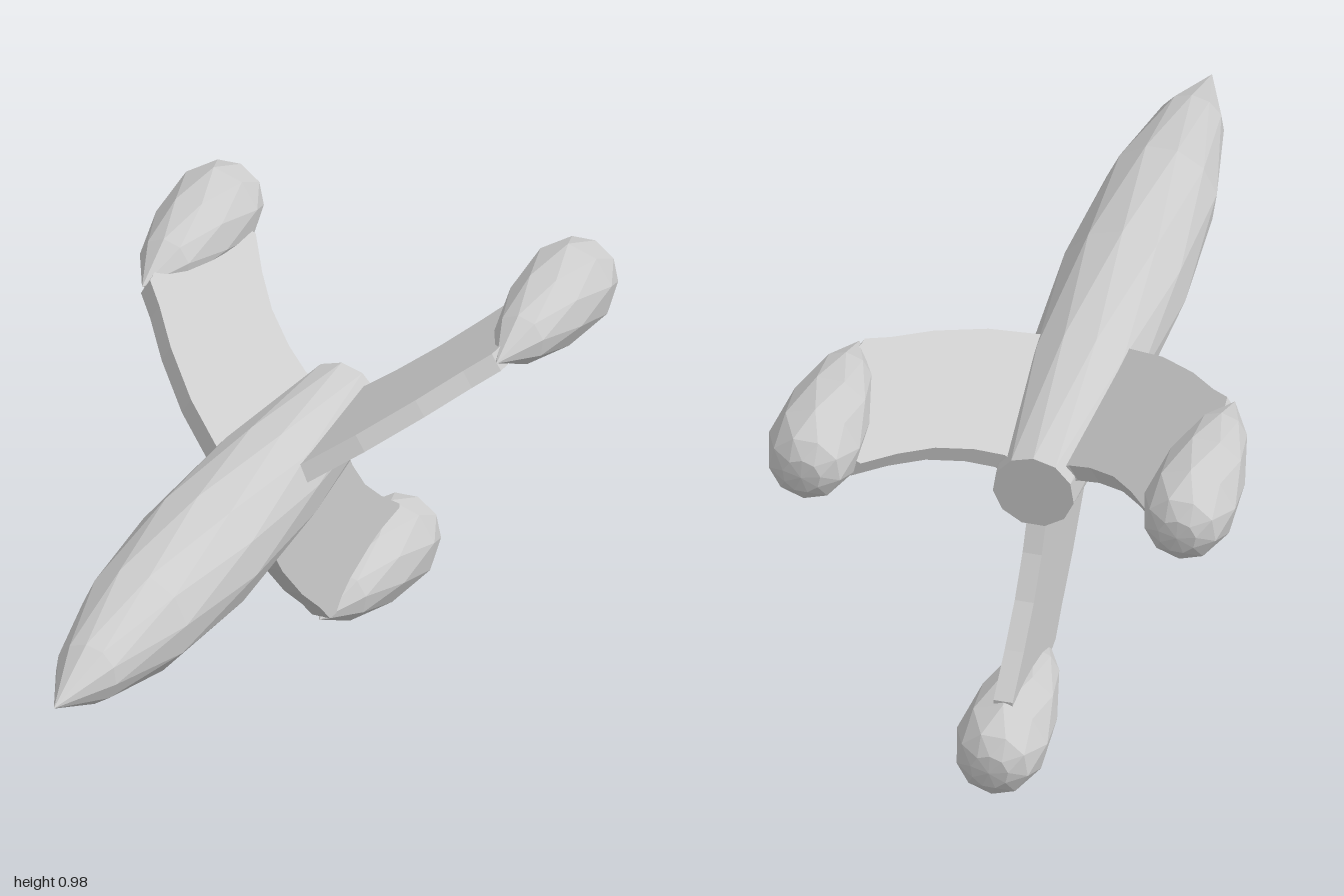
import * as THREE from 'three';

const material = new THREE.MeshStandardMaterial({ color: 0xcccccc, flatShading: true });

// Faceted spindle along z; each ring is turned half a step to give triangular facets.
// profile: [radius, z] from tail to nose
function spindle(name, profile, sides, turn = 0) {
  const geo = new THREE.LatheGeometry(profile.map(([r, z]) => new THREE.Vector2(r, z)), sides);
  const pos = geo.attributes.position;
  const v = new THREE.Vector3();
  const up = new THREE.Vector3(0, 1, 0);
  for (let i = 0; i < pos.count; i++) {
    const ring = i % profile.length;
    v.fromBufferAttribute(pos, i).applyAxisAngle(up, turn + ring * Math.PI / sides);
    pos.setXYZ(i, v.x, v.y, v.z);
  }
  geo.rotateX(Math.PI / 2);
  geo.computeVertexNormals();
  const mesh = new THREE.Mesh(geo, material);
  mesh.name = name;
  return mesh;
}

// Swept fin plate; outline points are [distance from body axis, z]
function fin() {
  const thickness = 0.045;
  const outline = [
    [0.05, -0.13], [0.13, -0.135], [0.25, -0.22], [0.365, -0.33], [0.45, -0.43], [0.505, -0.485],
    [0.52, -0.6], [0.5, -0.87], [0.4, -0.87], [0.33, -0.77], [0.255, -0.68], [0.17, -0.61],
    [0.1, -0.57], [0.05, -0.57],
  ];
  const shape = new THREE.Shape(outline.map(([r, z]) => new THREE.Vector2(r, z)));
  const geo = new THREE.ExtrudeGeometry(shape, { depth: thickness, bevelEnabled: false });
  geo.translate(0, 0, -thickness / 2);
  geo.rotateX(Math.PI / 2);
  const mesh = new THREE.Mesh(geo, material);
  mesh.name = 'fin';
  return mesh;
}

export function createModel() {
  const model = new THREE.Group();
  model.name = 'rocket';
  const axisY = 0.615;

  // Main hull with flat tail and pointed nose
  const hull = spindle('hull', [
    [0, -0.6], [0.096, -0.6], [0.134, -0.18], [0.149, 0.2], [0.131, 0.55], [0.076, 0.82], [0, 1],
  ], 11);
  hull.position.y = axisY;
  model.add(hull);

  // Three fins around the hull, each carrying a pod
  ['leftFin', 'rightFin', 'bottomFin'].forEach((name, i) => {
    const arm = new THREE.Group();
    arm.name = name;
    arm.position.y = axisY;
    arm.rotation.z = Math.PI / 6 + i * Math.PI * 2 / 3;
    const pod = spindle('pod', [
      [0, -1], [0.045, -0.995], [0.085, -0.965], [0.108, -0.88], [0.095, -0.74], [0.062, -0.6], [0, -0.475],
    ], 9, 0.2);
    pod.position.x = 0.51;
    arm.add(fin(), pod);
    model.add(arm);
  });
  return model;
}
